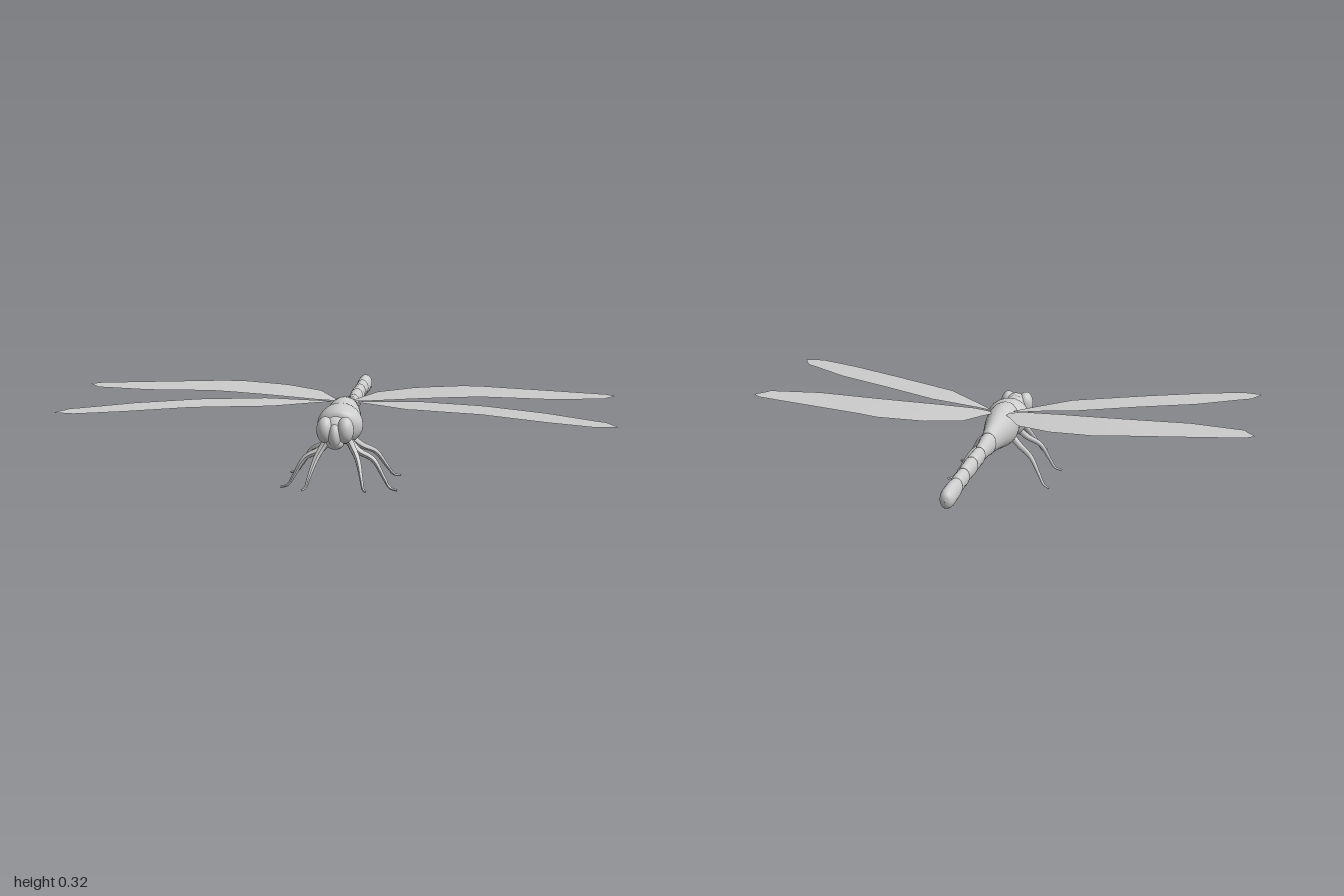
import * as THREE from 'three';

const grey = new THREE.MeshStandardMaterial({ color: 0xcccccc });
const wingGrey = new THREE.MeshStandardMaterial({ color: 0xcccccc, side: THREE.DoubleSide });

function addMesh(parent, name, geometry, material = grey) {
  const mesh = new THREE.Mesh(geometry, material);
  mesh.name = name;
  parent.add(mesh);
  return mesh;
}

// Smooth closed body through elliptical rings [z, centreY, halfWidth, halfHeight], front to back
function loft(rings, sides = 24, steps = 3) {
  const along = new THREE.CatmullRomCurve3(rings.map(([z, y]) => new THREE.Vector3(0, y, z)), false, 'centripetal');
  const size = new THREE.CatmullRomCurve3(rings.map(([z, , w, h]) => new THREE.Vector3(w, h, z)), false, 'centripetal');
  const count = (rings.length - 1) * steps;
  const positions = [], index = [];
  for (let i = 0; i <= count; i++) {
    const c = along.getPoint(i / count), s = size.getPoint(i / count);
    for (let j = 0; j < sides; j++) {
      const a = (j / sides) * Math.PI * 2;
      positions.push(Math.cos(a) * Math.max(s.x, 0.0005), c.y + Math.sin(a) * Math.max(s.y, 0.0005), s.z);
    }
  }
  for (let i = 0; i < count; i++) {
    for (let j = 0; j < sides; j++) {
      const a = i * sides + j, b = i * sides + ((j + 1) % sides);
      index.push(a, a + sides, b, b, a + sides, b + sides);
    }
  }
  const g = new THREE.BufferGeometry();
  g.setAttribute('position', new THREE.Float32BufferAttribute(positions, 3));
  g.setIndex(index);
  g.computeVertexNormals();
  return g;
}

function ellipsoid(parent, name, [x, y, z], [rx, ry, rz]) {
  const mesh = addMesh(parent, name, new THREE.SphereGeometry(1, 24, 16));
  mesh.position.set(x, y, z);
  mesh.scale.set(rx, ry, rz);
  return mesh;
}

// Wing as a strip of chords [x, backZ, frontZ], lifting gently away from the root
function wing(chords, side) {
  const positions = [], index = [];
  for (const [x, back, front] of chords) {
    const y = 0.288 + 0.029 * Math.pow(Math.min(1, x / 0.5), 0.6);
    positions.push(side * x, y, back, side * x, y, front);
  }
  for (let i = 0; i < chords.length - 1; i++) {
    const a = i * 2;
    if (side > 0) index.push(a, a + 1, a + 2, a + 1, a + 3, a + 2);
    else index.push(a, a + 2, a + 1, a + 1, a + 2, a + 3);
  }
  const g = new THREE.BufferGeometry();
  g.setAttribute('position', new THREE.Float32BufferAttribute(positions, 3));
  g.setIndex(index);
  g.computeVertexNormals();
  return g;
}

// Leg: tapered tube through joints, thick at the body and thin at the foot
function leg(joints, side) {
  const path = new THREE.CatmullRomCurve3(
    joints.map(([x, y, z]) => new THREE.Vector3(side * x, y, z)), false, 'centripetal');
  const rows = 20, sides = 8;
  const g = new THREE.TubeGeometry(path, rows, 1, sides);
  const p = g.attributes.position, v = new THREE.Vector3();
  for (let i = 0; i <= rows; i++) {
    const t = i / rows, c = path.getPointAt(t);
    const r = 0.004 + 0.011 * Math.pow(1 - t, 1.1);
    for (let j = 0; j <= sides; j++) {
      const k = i * (sides + 1) + j;
      v.fromBufferAttribute(p, k).sub(c).multiplyScalar(r).add(c);
      p.setXYZ(k, v.x, v.y, v.z);
    }
  }
  g.computeVertexNormals();
  return g;
}

export function createModel() {
  const model = new THREE.Group();
  model.name = 'dragonfly';

  // Thorax: front collar bulge, then the main body tapering to the tail
  addMesh(model, 'thoraxCollar', loft([
    [0.362, 0.24, 0, 0], [0.36, 0.24, 0.04, 0.045], [0.34, 0.236, 0.072, 0.064],
    [0.305, 0.234, 0.084, 0.074], [0.27, 0.233, 0.078, 0.077], [0.24, 0.233, 0.05, 0.06], [0.238, 0.233, 0, 0],
  ]));
  addMesh(model, 'thorax', loft([
    [0.3, 0.23, 0, 0], [0.295, 0.23, 0.05, 0.06], [0.25, 0.23, 0.06, 0.083], [0.2, 0.23, 0.066, 0.085],
    [0.15, 0.23, 0.06, 0.078], [0.08, 0.23, 0.046, 0.062], [0, 0.229, 0.032, 0.046],
    [-0.012, 0.229, 0.027, 0.038], [-0.014, 0.229, 0, 0],
  ]));

  // Abdomen segments: [frontZ, backZ, frontHalfHeight, backHalfHeight, centreY]
  const segments = [
    [-0.005, -0.142, 0.043, 0.031, 0.228], [-0.138, -0.252, 0.033, 0.034, 0.226],
    [-0.248, -0.362, 0.035, 0.032, 0.225], [-0.358, -0.458, 0.033, 0.033, 0.222],
  ];
  segments.forEach(([f, b, hf, hb, y], i) => {
    const w = 0.76;
    addMesh(model, 'abdomenSegment' + (i + 1), loft([
      [f, y, 0, 0], [f - 0.001, y, hf * 0.6, hf * 0.8], [f - 0.015, y, hf * w, hf],
      [(f + b) / 2, y, (hf + hb) / 2 * w, (hf + hb) / 2],
      [b + 0.015, y, hb * w, hb], [b + 0.001, y, hb * 0.6, hb * 0.8], [b, y, 0, 0],
    ]));
  });
  addMesh(model, 'tailTip', loft([
    [-0.45, 0.22, 0, 0], [-0.453, 0.22, 0.02, 0.026], [-0.475, 0.219, 0.027, 0.034], [-0.53, 0.217, 0.028, 0.038],
    [-0.575, 0.215, 0.027, 0.036], [-0.598, 0.214, 0.018, 0.025], [-0.605, 0.214, 0, 0],
  ]));

  // Neck and head
  addMesh(model, 'neck', loft([
    [0.425, 0.24, 0, 0], [0.42, 0.24, 0.04, 0.045], [0.395, 0.237, 0.045, 0.048],
    [0.375, 0.232, 0.038, 0.035], [0.345, 0.23, 0.045, 0.045], [0.34, 0.23, 0, 0],
  ]));
  ellipsoid(model, 'head', [0, 0.238, 0.43], [0.05, 0.055, 0.042]);
  ellipsoid(model, 'face', [0, 0.228, 0.455], [0.024, 0.045, 0.034]);
  ellipsoid(model, 'mouth', [0, 0.2, 0.445], [0.032, 0.024, 0.03]);

  const foreWing = [
    [0.05, 0.182, 0.195], [0.1, 0.19, 0.235], [0.25, 0.21, 0.352], [0.29, 0.215, 0.366], [0.52, 0.3, 0.45],
    [0.74, 0.395, 0.545], [0.905, 0.498, 0.602], [0.945, 0.52, 0.597], [0.98, 0.585, 0.592],
  ];
  const hindWing = [
    [0.03, 0.14, 0.165], [0.06, 0.095, 0.172], [0.11, 0.01, 0.178], [0.245, -0.05, 0.166], [0.305, -0.058, 0.16],
    [0.43, -0.072, 0.15], [0.51, -0.056, 0.146], [0.75, -0.006, 0.16], [0.955, 0.038, 0.132],
    [0.968, 0.041, 0.112], [1, 0.068, 0.072],
  ];
  const legs = {
    FrontLeg: [[0.03, 0.21, 0.37], [0.05, 0.175, 0.375], [0.075, 0.13, 0.4], [0.095, 0.07, 0.455], [0.105, 0.038, 0.48], [0.118, 0.036, 0.5]],
    MiddleLeg: [[0.035, 0.18, 0.32], [0.07, 0.145, 0.33], [0.125, 0.115, 0.335], [0.165, 0.05, 0.343], [0.188, 0.013, 0.347], [0.215, 0.005, 0.352]],
    HindLeg: [[0.035, 0.17, 0.235], [0.07, 0.14, 0.22], [0.12, 0.11, 0.19], [0.16, 0.05, 0.165], [0.185, 0.013, 0.148], [0.21, 0.005, 0.135]],
  };

  // Paired parts
  for (const [side, label] of [[1, 'left'], [-1, 'right']]) {
    ellipsoid(model, label + 'Eye', [side * 0.036, 0.247, 0.445], [0.031, 0.048, 0.039]);
    addMesh(model, label + 'ForeWing', wing(foreWing, side), wingGrey);
    addMesh(model, label + 'HindWing', wing(hindWing, side), wingGrey);
    for (const [name, joints] of Object.entries(legs)) addMesh(model, label + name, leg(joints, side));
  }
  return model;
}
